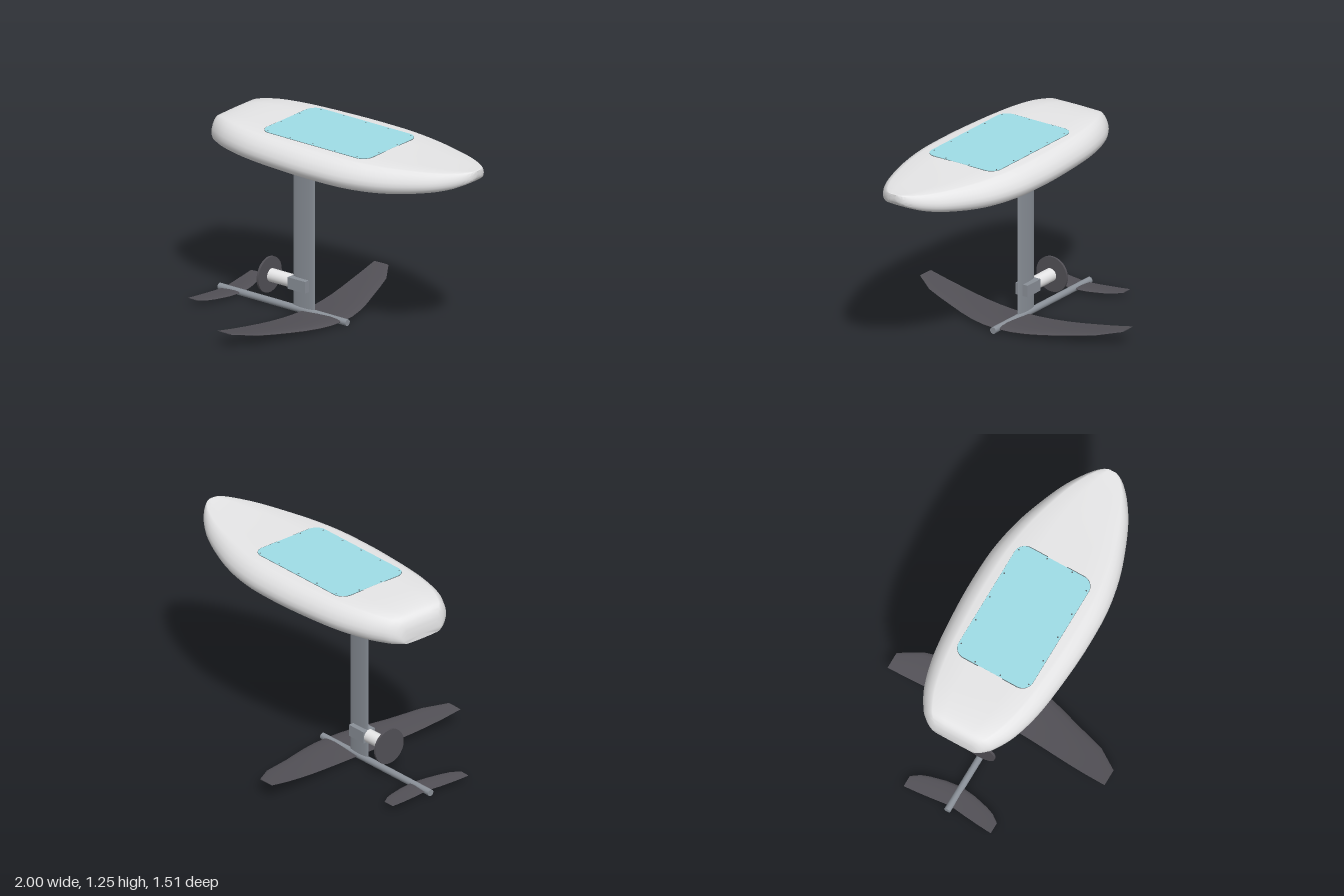
import * as THREE from 'three';
import { toCreasedNormals } from 'three/addons/utils/BufferGeometryUtils.js';

const paint = (name, color) => {
  const m = new THREE.MeshStandardMaterial({ color });
  m.name = name;
  return m;
};

// Skins a list of equal-length closed rings and caps both ends
function loft(rings, crease) {
  const n = rings[0].length, pos = [], index = [];
  rings.forEach(r => r.forEach(p => pos.push(...p)));
  for (let i = 0; i < rings.length - 1; i++) {
    for (let j = 0; j < n; j++) {
      const a = i * n + j, b = i * n + (j + 1) % n;
      index.push(a, b, a + n, b, b + n, a + n);
    }
  }
  [0, rings.length - 1].forEach(i => {
    const c = pos.length / 3;
    for (let k = 0; k < 3; k++) pos.push(rings[i].reduce((s, p) => s + p[k], 0) / n);
    for (let j = 0; j < n; j++) {
      const a = i * n + j, b = i * n + (j + 1) % n;
      index.push(...(i ? [c, a, b] : [c, b, a]));
    }
  });
  // Turn all faces outward, judged by the sign of the volume
  const v = k => new THREE.Vector3().fromArray(pos, index[k] * 3);
  let volume = 0;
  for (let k = 0; k < index.length; k += 3) volume += v(k).dot(v(k + 1).cross(v(k + 2)));
  if (volume < 0) index.reverse();
  const g = new THREE.BufferGeometry();
  g.setAttribute('position', new THREE.Float32BufferAttribute(pos, 3));
  g.setIndex(index);
  return toCreasedNormals(g, crease);
}

// Hull from stations along x: x, half width, bottom, top
function boardGeometry() {
  const stations = [
    [-0.925, 0.15, 1.045, 1.11], [-0.917, 0.175, 1.045, 1.155], [-0.895, 0.21, 1.044, 1.195],
    [-0.85, 0.252, 1.043, 1.216], [-0.72, 0.32, 1.041, 1.228], [-0.5, 0.375, 1.038, 1.23],
    [-0.18, 0.405, 1.036, 1.23], [0.05, 0.41, 1.036, 1.23], [0.25, 0.4, 1.039, 1.23],
    [0.45, 0.362, 1.05, 1.23], [0.62, 0.305, 1.07, 1.232], [0.78, 0.235, 1.1, 1.236],
    [0.89, 0.165, 1.132, 1.24], [0.955, 0.108, 1.162, 1.244], [0.988, 0.065, 1.185, 1.247],
    [1.0, 0.03, 1.205, 1.247],
  ];
  const half = [
    [0.4, 0.995], [0.75, 0.985], [0.79, 0.965], [0.87, 0.87], [0.94, 0.73], [0.985, 0.56],
    [1, 0.42], [0.985, 0.28], [0.94, 0.16], [0.87, 0.08], [0.78, 0.04], [0.45, 0.01],
  ];
  const section = [[0, 1], ...half, [0, 0], ...half.map(([z, y]) => [-z, y]).reverse()];
  // Each curve runs along one edge: x, height, half width
  const edge = k => new THREE.CatmullRomCurve3(
    stations.map(s => new THREE.Vector3(s[0], s[k], s[1])), false, 'catmullrom');
  const bottom = edge(2), top = edge(3), rings = [], steps = 60;
  for (let i = 0; i <= steps; i++) {
    const b = bottom.getPoint(i / steps), t = top.getPoint(i / steps);
    rings.push(section.map(([z, y]) => [b.x, b.y + y * (t.y - b.y), z * b.z]));
  }
  return loft(rings, 0.7);
}

// Aerofoil outline: chord fraction from the leading edge, thickness fraction
const foil = [[0, 0], [0.03, 0.24], [0.12, 0.42], [0.3, 0.5], [0.6, 0.36], [0.85, 0.14], [1, 0.01]];
const foilLoop = [...foil, ...foil.slice(1).reverse().map(([c, t]) => [c, -t])];

// Mirrored wing from half stations: z, leading x, trailing x, height, thickness
function wingGeometry(half) {
  const all = [...half.slice(1).reverse().map(([z, ...r]) => [-z, ...r]), ...half];
  return loft(all.map(([z, lead, trail, y, thick]) =>
    foilLoop.map(([c, t]) => [lead + (trail - lead) * c, y + t * thick, z])), 0.7);
}

// Rounded rectangle plate lying flat
function plateGeometry(w, d, r, thick) {
  const s = new THREE.Shape(), x = w / 2, y = d / 2;
  s.absarc(x - r, y - r, r, 0, Math.PI / 2);
  s.absarc(r - x, y - r, r, Math.PI / 2, Math.PI);
  s.absarc(r - x, r - y, r, Math.PI, Math.PI * 1.5);
  s.absarc(x - r, r - y, r, Math.PI * 1.5, Math.PI * 2);
  return new THREE.ExtrudeGeometry(s, { depth: thick, bevelEnabled: false, curveSegments: 10 })
    .rotateX(-Math.PI / 2);
}

export function createModel() {
  const model = new THREE.Group();
  const white = paint('white shell', 0xe6e6e7);
  const teal = paint('teal hatch', 0x9edce6);
  const metal = paint('grey metal', 0x8a9098);
  const carbon = paint('dark carbon', 0x525056);
  const seamGrey = paint('seam grey', 0x5c686c);

  const add = (name, geometry, material, x = 0, y = 0, z = 0) => {
    const m = new THREE.Mesh(geometry, material);
    m.name = name;
    m.position.set(x, y, z);
    model.add(m);
  };
  const rod = (r, length, sides = 32) =>
    new THREE.CylinderGeometry(r, r, length, sides).rotateZ(Math.PI / 2);

  add('board', boardGeometry(), white);

  // Deck hatch with its seam and screws
  const hx = -0.075;
  add('hatchSeam', plateGeometry(0.822, 0.518, 0.075, 0.006), seamGrey, hx, 1.2235, 0);
  add('hatch', plateGeometry(0.812, 0.516, 0.07, 0.008), teal, hx, 1.2235, 0);
  const screw = new THREE.CylinderGeometry(0.005, 0.005, 0.003, 10);
  const screws = [-0.335, -0.16, 0.01, 0.185, 0.36].map(x => [x, -0.242]);
  screws.push([-0.395, -0.11], [-0.395, 0.065]);
  for (const s of [1, -1]) {
    for (const [x, z] of screws) add('hatchScrew', screw, seamGrey, hx + s * x, 1.2308, s * z);
  }

  // Mast with a slim streamlined section
  const mast = new THREE.CylinderGeometry(1, 1, 1.03, 32).scale(0.0825, 1, 0.011);
  add('mast', mast, metal, -0.3465, 0.535, 0);

  // Fuselage tube and both wings
  add('fuselage', rod(0.021, 0.99), metal, -0.505, 0.022, 0);
  add('frontWing', wingGeometry([
    [0, -0.045, -0.35, 0.023, 0.028], [0.1, -0.05, -0.352, 0.0245, 0.027],
    [0.2, -0.07, -0.358, 0.029, 0.026], [0.3, -0.1, -0.367, 0.036, 0.024],
    [0.4, -0.135, -0.378, 0.046, 0.021], [0.51, -0.17, -0.39, 0.06, 0.017],
    [0.62, -0.208, -0.4, 0.076, 0.012], [0.755, -0.3, -0.41, 0.1, 0.005],
  ]), carbon);
  add('rearWing', wingGeometry([
    [0, -0.825, -0.965, 0.023, 0.016], [0.1, -0.838, -0.978, 0.0245, 0.014],
    [0.2, -0.865, -0.99, 0.029, 0.01], [0.25, -0.885, -0.995, 0.032, 0.007],
    [0.303, -0.925, -1, 0.036, 0.004],
  ]), carbon);

  // Motor pod, clamp and propeller disc
  add('motorClamp', new THREE.BoxGeometry(0.135, 0.075, 0.09), metal, -0.37, 0.19, 0);
  add('motor', rod(0.042, 0.165), white, -0.517, 0.19, 0);
  add('propellerShaft', rod(0.007, 0.03, 16), metal, -0.605, 0.19, 0);
  add('propellerDisc', rod(0.113, 0.014, 48), carbon, -0.617, 0.19, 0);

  return model;
}
